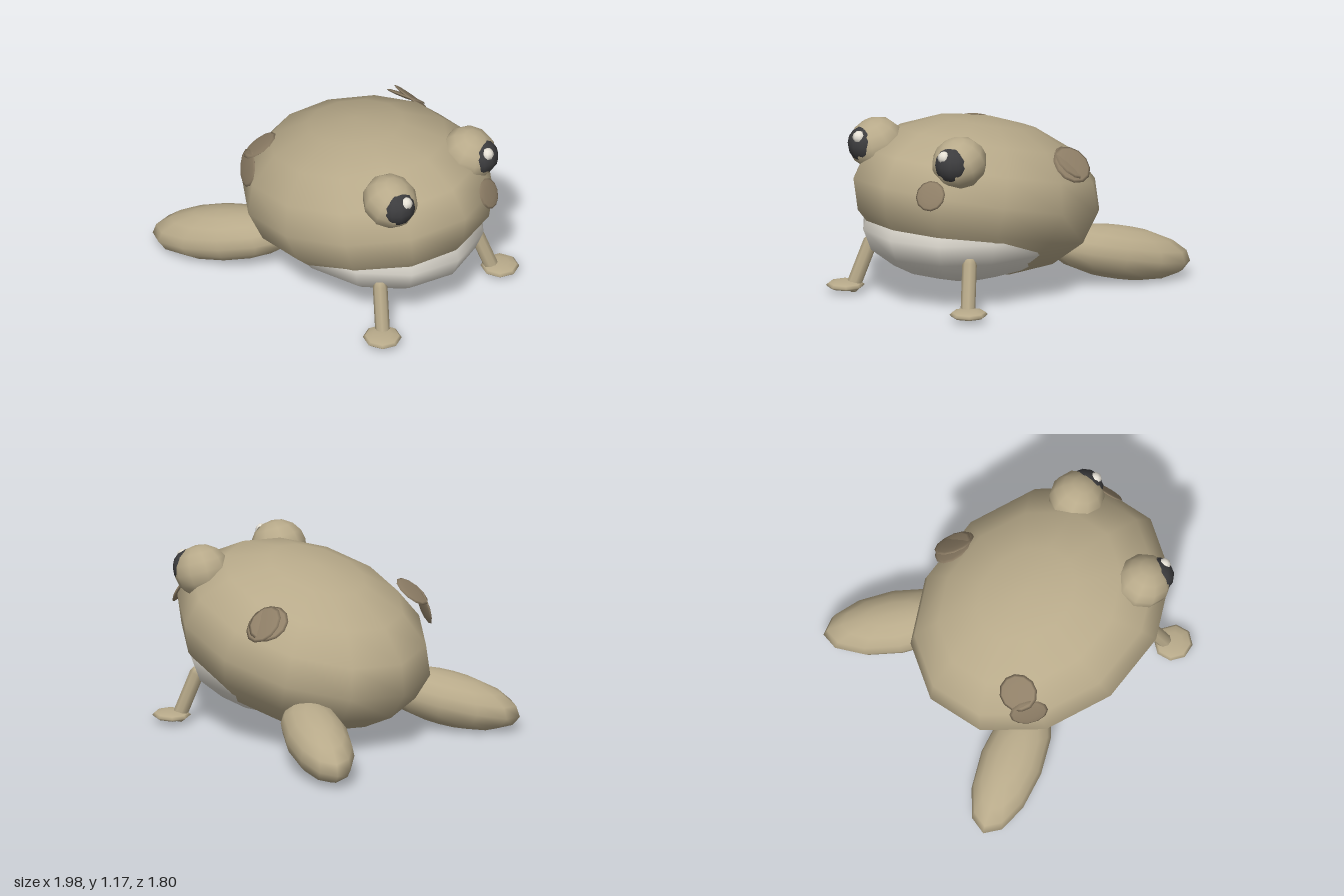
import * as THREE from 'three';

const flat = (name, color) => {
  const m = new THREE.MeshStandardMaterial({ color });
  m.name = name;
  return m;
};

export function createModel() {
  const skin = flat('olive skin', 0xb8aa8a);
  const pale = flat('pale belly', 0xe0dcd2);
  const spot = flat('brown spot', 0x8f7f67);
  const dark = flat('dark pupil', 0x3c3c3e);
  const glint = flat('eye glint', 0xe8e3d8);

  const frog = new THREE.Group();
  frog.name = 'frog';

  const add = (name, geometry, material, pos, parent = frog) => {
    const mesh = new THREE.Mesh(geometry, material);
    mesh.name = name;
    mesh.position.set(...pos);
    parent.add(mesh);
    return mesh;
  };

  // Low-poly smooth ellipsoid
  const ellipsoid = (name, material, radii, pos, w = 12, h = 8, parent = frog) => {
    const mesh = add(name, new THREE.SphereGeometry(1, w, h), material, pos, parent);
    mesh.scale.set(...radii);
    return mesh;
  };

  // Body tilts up toward the head; the belly bulges through its underside
  ellipsoid('body', skin, [0.908, 0.51, 0.74], [0.118, 0.615, 0]).rotation.z = 0.245;
  ellipsoid('belly', pale, [0.74, 0.37, 0.645], [0.2, 0.47, 0]);

  const up = new THREE.Vector3(0, 1, 0);
  for (const s of [1, -1]) {
    const side = s > 0 ? 'left' : 'right';
    const group = (part) => {
      const g = new THREE.Group();
      g.name = side + part;
      frog.add(g);
      return g;
    };

    // Bulging eye with pupil and glint
    const eye = group('Eye');
    ellipsoid('eyeball', skin, [0.185, 0.17, 0.175], [0.675, 1.0, s * 0.355], 10, 8, eye).rotation.z = -0.35;
    ellipsoid('pupil', dark, [0.12, 0.12, 0.12], [0.755, 1.01, s * 0.375], 12, 8, eye);
    ellipsoid('glint', glint, [0.042, 0.042, 0.042], [0.832, 1.07, s * 0.366], 8, 6, eye);

    // Thin front leg standing on a flat foot
    const front = group('FrontLeg');
    const top = new THREE.Vector3(0.655, 0.335, s * 0.425);
    const bottom = new THREE.Vector3(0.745, 0.048, s * 0.492);
    const mid = top.clone().add(bottom).multiplyScalar(0.5);
    const leg = add('leg', new THREE.CapsuleGeometry(0.047, top.distanceTo(bottom), 2, 8), skin, mid.toArray(), front);
    leg.quaternion.setFromUnitVectors(up, top.clone().sub(bottom).normalize());
    ellipsoid('foot', skin, [0.126, 0.03, 0.122], [0.78, 0.052, s * 0.53], 8, 6, front);

    // Heavy hind leg splayed backward and outward
    const hind = ellipsoid(side + 'HindLeg', skin, [0.49, 0.172, 0.205], [-0.57, 0.2, s * 0.6]);
    hind.rotation.set(0, s * 0.54, 0.2, 'YZX');
  }

  // Thin lens-shaped spots: position, facing direction, radius
  const spots = [
    ['leftSpotLower', [-0.405, 0.79, 0.565], [-0.45, 0.25, 0.86], 0.125],
    ['leftSpotUpper', [-0.405, 0.91, 0.455], [-0.52, 0.8, 0.3], 0.125],
    ['rightSpotUpper', [-0.135, 0.88, -0.595], [-0.15, 0.75, -0.65], 0.135],
    ['rightSpotLower', [-0.11, 0.875, -0.615], [0.1, 0.68, -0.73], 0.135],
    ['faceSpot', [0.9, 0.82, -0.31], [0.85, 0.45, -0.28], 0.1],
  ];
  for (const [name, pos, dir, r] of spots) {
    ellipsoid(name, spot, [r, 0.014, r], pos, 12, 6)
      .quaternion.setFromUnitVectors(up, new THREE.Vector3(...dir).normalize());
  }

  return frog;
}
